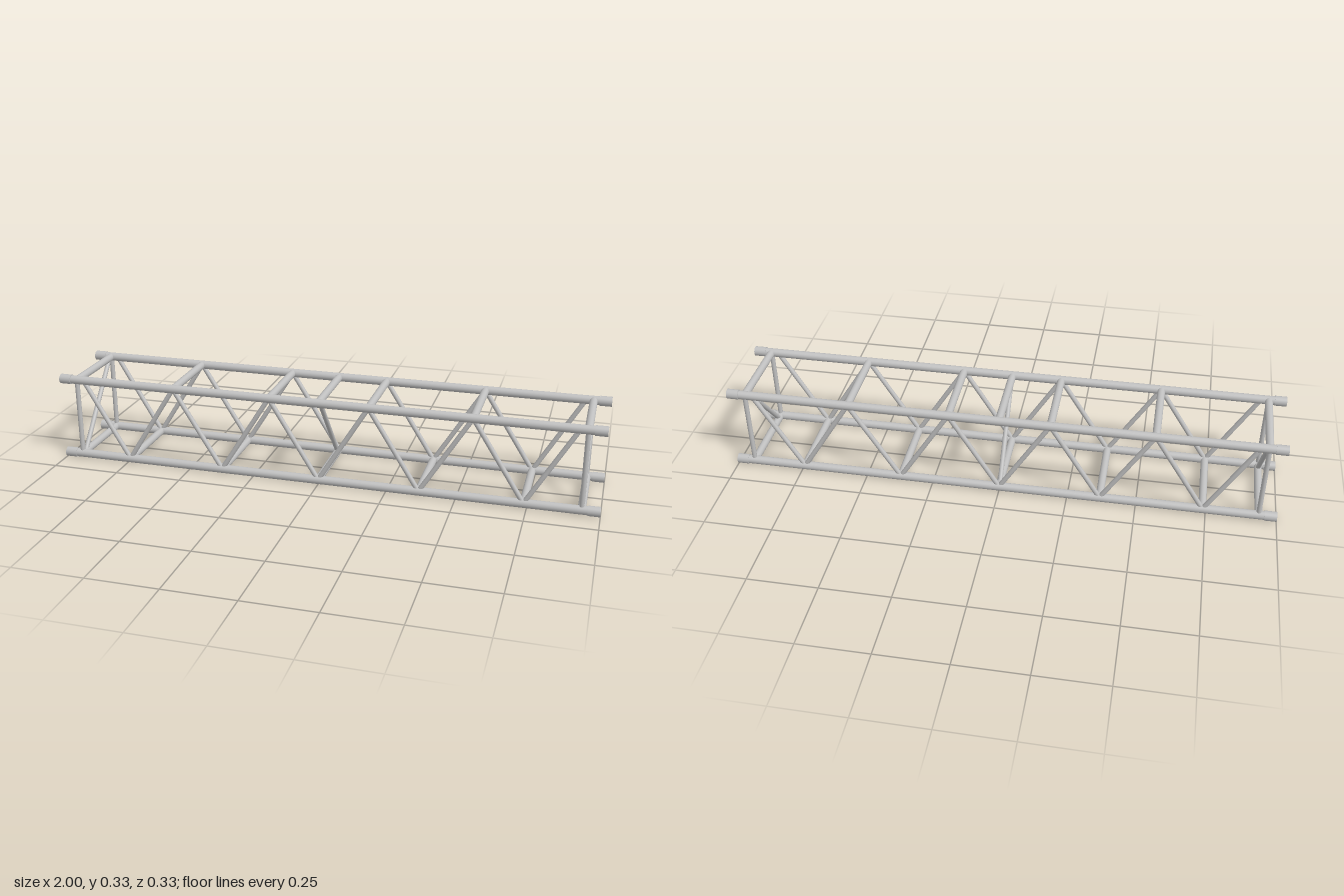
import * as THREE from 'three';

export function createModel() {
  const model = new THREE.Group();
  const aluminium = new THREE.MeshStandardMaterial({ color: 0xc0c0c0 });
  aluminium.name = 'aluminium';

  const LOW = 0.018, HIGH = 0.313, SIDE = 0.147;
  const UP = new THREE.Vector3(0, 1, 0);

  // A round bar running from point a to point b
  function bar(name, a, b, radius) {
    const start = new THREE.Vector3(...a);
    const span = new THREE.Vector3(...b).sub(start);
    const mesh = new THREE.Mesh(new THREE.CylinderGeometry(radius, radius, span.length(), 24), aluminium);
    mesh.name = name;
    mesh.position.copy(start).addScaledVector(span, 0.5);
    mesh.quaternion.setFromUnitVectors(UP, span.normalize());
    model.add(mesh);
  }

  // Four long chords, each with a slightly thicker sleeve at both ends
  for (const y of [LOW, HIGH]) {
    for (const z of [-SIDE, SIDE]) {
      bar('chord', [-0.97, y, z], [0.97, y, z], 0.0158);
      for (const s of [-1, 1]) bar('endSleeve', [s * 0.957, y, z], [s, y, z], 0.018);
    }
  }

  // Cross bars joining the front and back chords at every node
  const topNodes = [0, 0.183, 0.551, 0.936];
  const bottomNodes = [0, 0.369, 0.738, 0.936];
  for (const [nodes, y] of [[topNodes, HIGH], [bottomNodes, LOW]]) {
    for (const x of nodes) {
      for (const s of x === 0 ? [1] : [-1, 1]) {
        bar('crossBar', [s * x, y, -SIDE], [s * x, y, SIDE], 0.014);
      }
    }
  }

  // Zigzag webs and end posts on the front and back faces
  const zigzag = [[0, LOW], [0.183, HIGH], [0.369, LOW], [0.551, HIGH], [0.738, LOW], [0.91, HIGH]];
  for (const z of [-SIDE, SIDE]) {
    for (const s of [-1, 1]) {
      bar('endPost', [s * 0.936, LOW, z], [s * 0.936, HIGH, z], 0.0088);
      for (let i = 0; i + 1 < zigzag.length; i++) {
        const [x0, y0] = zigzag[i], [x1, y1] = zigzag[i + 1];
        bar('webDiagonal', [s * x0, y0, z], [s * x1, y1, z], 0.0088);
      }
    }
  }

  // Braces across the section: both ends slope one way, the middle the other
  for (const [x, dir] of [[-0.936, 1], [0, -1], [0.936, 1]]) {
    bar('sectionBrace', [x, LOW, dir * 0.126], [x, HIGH, -dir * 0.126], 0.0088);
  }

  return model;
}
